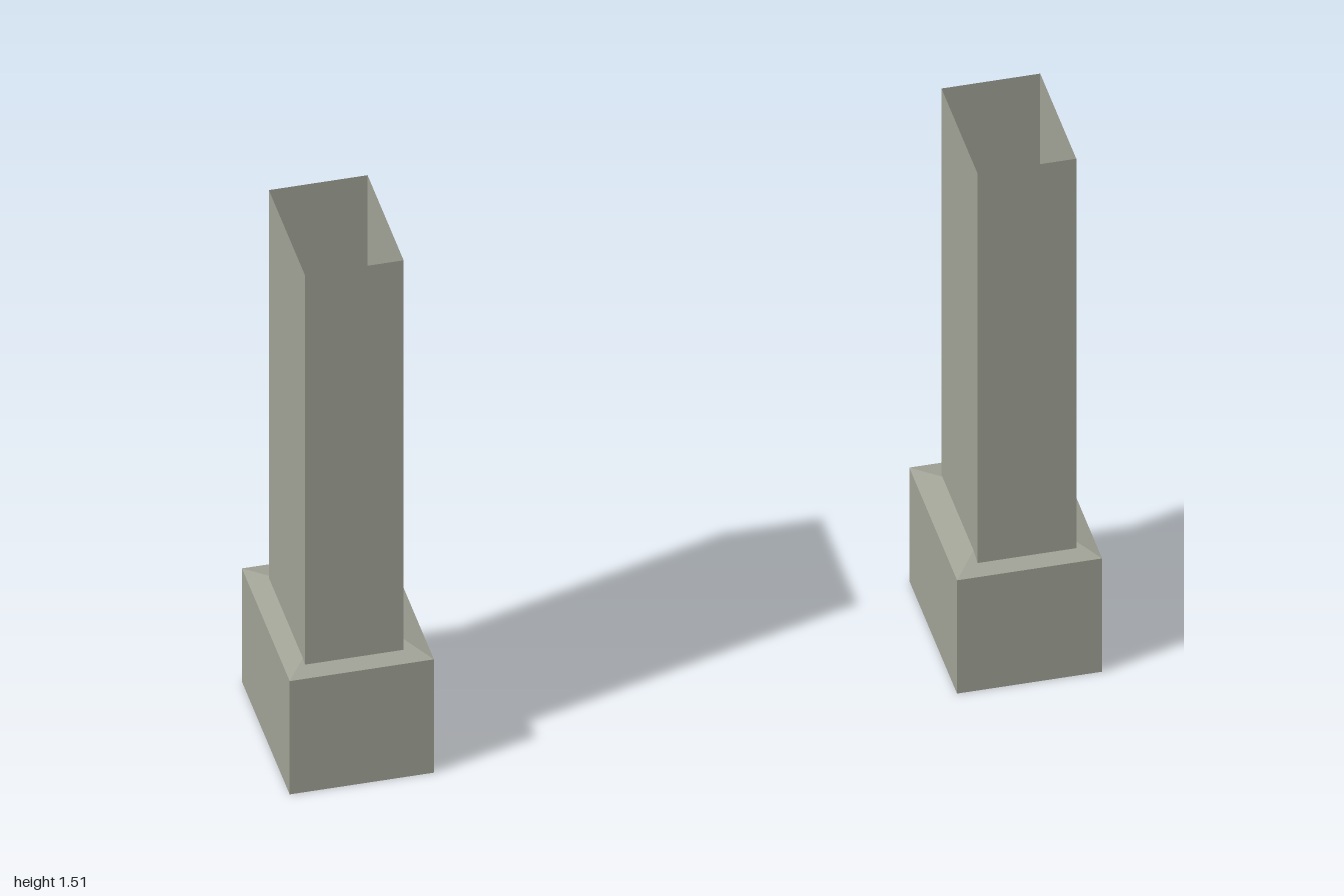
import * as THREE from 'three';

// Open rectangular shell through levels of [y, x0, x1, z0, z1], from bottom to top
function shell(levels) {
  const rings = levels.map(([y, x0, x1, z0, z1]) => [
    [x1, y, z1], [x1, y, z0], [x0, y, z0], [x0, y, z1],
  ]);
  const points = [];
  for (let l = 0; l < rings.length - 1; l++) {
    for (let i = 0; i < 4; i++) {
      const j = (i + 1) % 4;
      const a = rings[l][i], b = rings[l][j], c = rings[l + 1][j], d = rings[l + 1][i];
      points.push(...a, ...b, ...c, ...a, ...c, ...d);
    }
  }
  const geometry = new THREE.BufferGeometry();
  geometry.setAttribute('position', new THREE.Float32BufferAttribute(points, 3));
  geometry.computeVertexNormals();
  return geometry;
}

export function createModel() {
  const model = new THREE.Group();
  model.name = 'gatePosts';

  const stone = new THREE.MeshStandardMaterial({ color: 0xa0a296, side: THREE.DoubleSide });
  stone.name = 'grey stone';

  function addPost(name, base, hole, shaft) {
    const post = new THREE.Group();
    post.name = name;

    // Plinth: hollow box with a shallow sloped rim, open at the bottom
    const plinth = new THREE.Mesh(shell([
      [0, ...base, -0.2325, 0.2325],
      [0.337, ...base, -0.2325, 0.2325],
      [0.36, ...hole, -0.14, 0.14],
    ]), stone);
    plinth.name = 'plinth';

    // Shaft: open tube set slightly forward on the plinth
    const tube = new THREE.Mesh(shell([
      [0.337, ...shaft, -0.16, 0.191],
      [1.506, ...shaft, -0.16, 0.191],
    ]), stone);
    tube.name = 'shaft';

    post.add(plinth, tube);
    model.add(post);
  }

  addPost('leftPost', [0.643, 1], [0.713, 0.927], [0.704, 0.947]);
  addPost('rightPost', [-1, -0.645], [-0.929, -0.716], [-0.952, -0.709]);
  return model;
}
